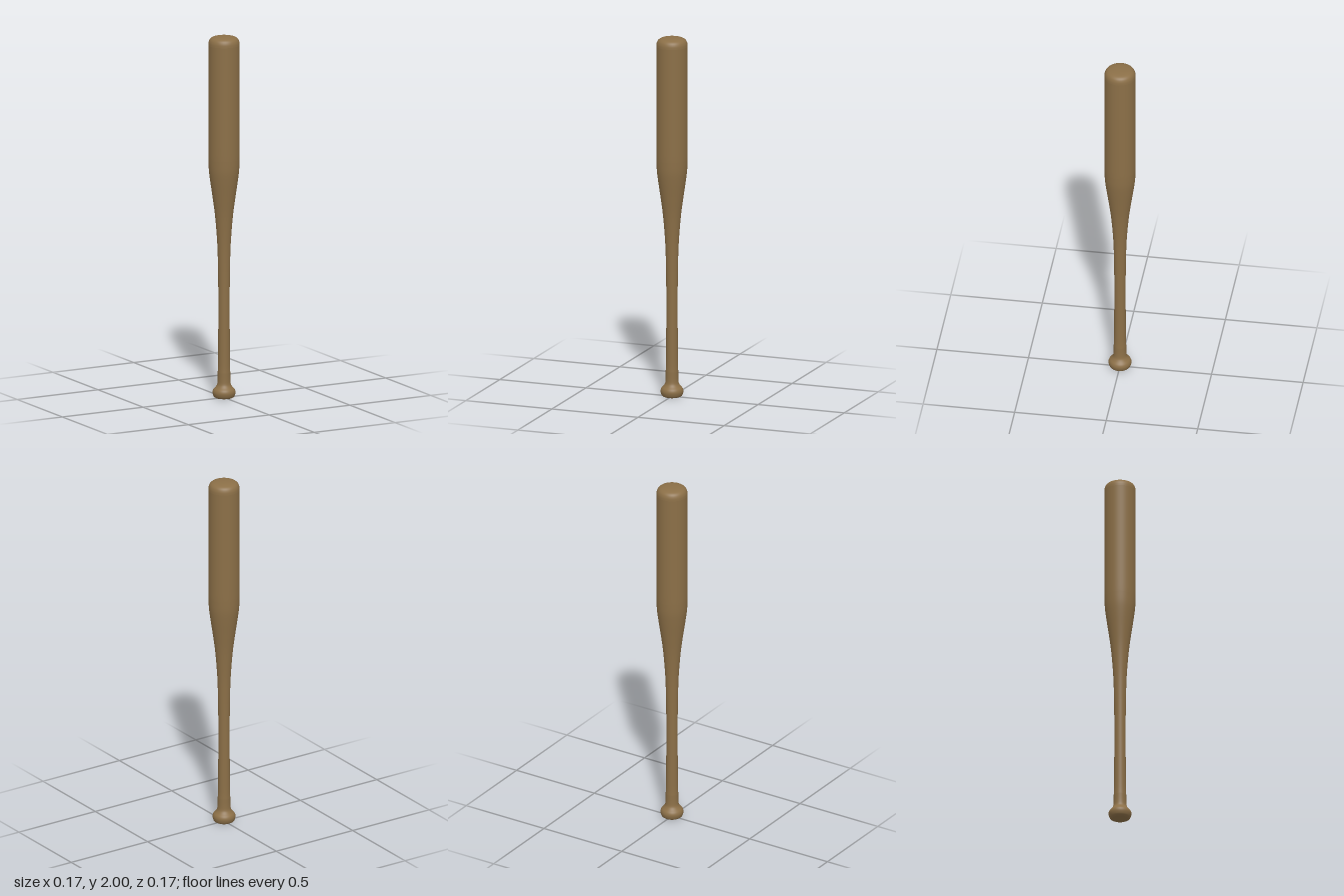
import * as THREE from 'three';

const wood = new THREE.MeshStandardMaterial({ color: 0x8b6f47 });
wood.name = 'brown wood';

// Turns a smooth curve through [radius, height] points around the y axis
function turned(name, profile, samples) {
  const curve = new THREE.SplineCurve(profile.map(([r, y]) => new THREE.Vector2(r, y)));
  const points = curve.getPoints(samples);
  points.forEach((p) => { p.x = Math.max(p.x, 0); });
  const mesh = new THREE.Mesh(new THREE.LatheGeometry(points, 48), wood);
  mesh.name = name;
  return mesh;
}

export function createModel() {
  const bat = new THREE.Group();
  bat.name = 'bat';

  // Flat underside of the knob
  const base = new THREE.Mesh(new THREE.CircleGeometry(0.045, 48), wood);
  base.name = 'knobBase';
  base.rotation.x = Math.PI / 2;
  bat.add(base);

  // Rounded knob flaring into the grip
  bat.add(turned('knob', [
    [0.045, 0], [0.056, 0.008], [0.062, 0.028], [0.058, 0.045],
    [0.045, 0.06], [0.037, 0.075], [0.0345, 0.1], [0.034, 0.14],
  ], 36));

  // Slim, nearly straight handle
  bat.add(turned('handle', [
    [0.034, 0.14], [0.032, 0.2], [0.031, 0.4], [0.031, 0.6], [0.032, 0.7],
  ], 20));

  // Taper widening into the barrel
  bat.add(turned('taper', [
    [0.032, 0.7], [0.035, 0.82], [0.041, 0.92], [0.05, 1.02],
    [0.062, 1.11], [0.075, 1.2], [0.082, 1.26], [0.0845, 1.32],
  ], 36));

  // Straight barrel
  bat.add(turned('barrel', [[0.0845, 1.32], [0.085, 1.4], [0.085, 1.8], [0.085, 1.95]], 12));

  // Rounded tip
  bat.add(turned('tip', [
    [0.085, 1.95], [0.083, 1.967], [0.076, 1.982], [0.062, 1.992], [0.035, 1.998], [0, 2],
  ], 28));

  return bat;
}
